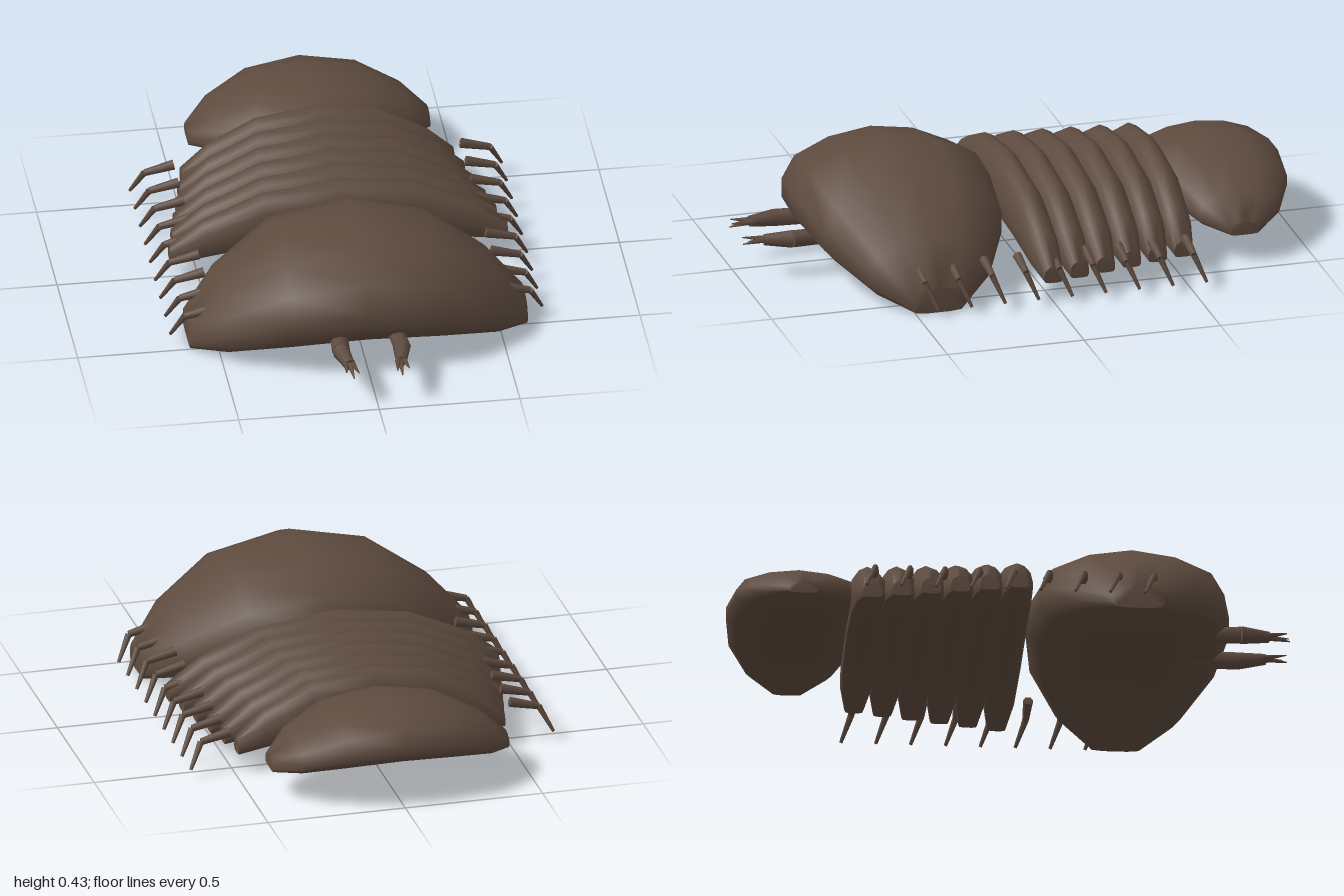
import * as THREE from 'three';
import { toCreasedNormals } from 'three/addons/utils/BufferGeometryUtils.js';

// Half outline of a plate's cross-section: [depth fraction, height fraction]
const HALF = [[0, 1], [0.47, 0.92], [0.86, 0.72], [1, 0.44], [1, 0.2], [0.87, 0.04], [0.45, 0]];
const SECTION = [...HALF, [0, 0], ...HALF.slice(1).reverse().map(([u, v]) => [-u, v])];

// Arched plate, lofted from side to side; stations are [x, bottom, top, half depth]
function archedPlate(half) {
  const stations = [...half.slice(1).reverse().map(([x, ...r]) => [-x, ...r]), ...half];
  const n = SECTION.length, pos = [], idx = [];
  for (const [x, bottom, top, depth] of stations)
    for (const [u, v] of SECTION) pos.push(x, bottom + (top - bottom) * v, u * depth);
  for (let i = 0; i < stations.length - 1; i++)
    for (let j = 0; j < n; j++) {
      const a = i * n + j, b = i * n + (j + 1) % n, c = a + n, d = b + n;
      idx.push(a, b, d, a, d, c);
    }
  const last = (stations.length - 1) * n;
  for (let j = 1; j < n - 1; j++) {
    idx.push(0, j + 1, j);
    idx.push(last, last + j, last + j + 1);
  }
  const g = new THREE.BufferGeometry();
  g.setAttribute('position', new THREE.Float32BufferAttribute(pos, 3));
  g.setIndex(idx);
  return toCreasedNormals(g, 1.0);
}

// Tapered limb piece between two points
function limb(from, to, r0, r1, material, name, sides = 6) {
  const a = new THREE.Vector3(...from), b = new THREE.Vector3(...to);
  const dir = b.clone().sub(a);
  const mesh = new THREE.Mesh(new THREE.CylinderGeometry(r1, r0, dir.length(), sides), material);
  mesh.position.copy(a).add(b).multiplyScalar(0.5);
  mesh.quaternion.setFromUnitVectors(new THREE.Vector3(0, 1, 0), dir.normalize());
  mesh.name = name;
  return mesh;
}

export function createModel() {
  const model = new THREE.Group();
  model.name = 'armouredArthropod';
  const shell = new THREE.MeshStandardMaterial({ color: 0x5e4b3f });
  shell.name = 'brownShell';

  const addPlate = (name, z, stations) => {
    const mesh = new THREE.Mesh(archedPlate(stations), shell);
    mesh.name = name;
    mesh.position.z = z;
    model.add(mesh);
  };

  // Head and tail shields
  addPlate('headShield', 0.415, [
    [0, 0.115, 0.435, 0.36], [0.27, 0.09, 0.38, 0.325], [0.48, 0.037, 0.235, 0.22], [0.6, 0.003, 0.1, 0.095]]);
  addPlate('tailShield', -0.755, [
    [0, 0.162, 0.33, 0.245], [0.195, 0.15, 0.3, 0.222], [0.345, 0.122, 0.225, 0.15], [0.43, 0.104, 0.155, 0.055]]);

  // Overlapping body bands, narrowing toward the tail
  for (let i = 0; i < 6; i++) {
    const w = 0.6 - i * 0.023;
    addPlate('bodyBand', -0.005 - i * 0.102, [
      [0, 0.142, 0.345, 0.066], [w * 0.45, 0.126, 0.31, 0.064],
      [w * 0.8, 0.092, 0.218, 0.055], [w, 0.068, 0.13, 0.034]]);
  }

  for (const s of [1, -1]) {
    // Nine jointed walking legs on each side
    for (let i = 0; i < 9; i++) {
      const z = 0.465 - i * 0.123;
      const leg = new THREE.Group();
      leg.name = s > 0 ? 'leftLeg' : 'rightLeg';
      const knee = [s * 0.615, 0.122, z + 0.004];
      leg.add(limb([s * 0.51, 0.148, z + 0.006], knee, 0.018, 0.012, shell, 'upperLeg'));
      leg.add(limb(knee, [s * 0.661, 0.034, z - 0.03], 0.012, 0.006, shell, 'lowerLeg'));
      model.add(leg);
    }

    // Front feeler with small claws
    const feeler = new THREE.Group();
    feeler.name = s > 0 ? 'leftFeeler' : 'rightFeeler';
    const bend = [s * 0.108, 0.138, 0.81], wrist = [s * 0.092, 0.14, 0.91];
    feeler.add(limb([s * 0.095, 0.135, 0.6], bend, 0.03, 0.032, shell, 'feelerBase', 8));
    feeler.add(limb(bend, wrist, 0.032, 0.02, shell, 'feelerTip', 8));
    for (const [x, y, z] of [[0.068, 0.147, 0.982], [0.112, 0.147, 0.972], [0.086, 0.128, 0.985]])
      feeler.add(limb([wrist[0] + s * (x - 0.09) * 0.4, wrist[1], 0.895], [s * x, y, z], 0.013, 0.002, shell, 'claw', 5));
    model.add(feeler);
  }
  return model;
}
